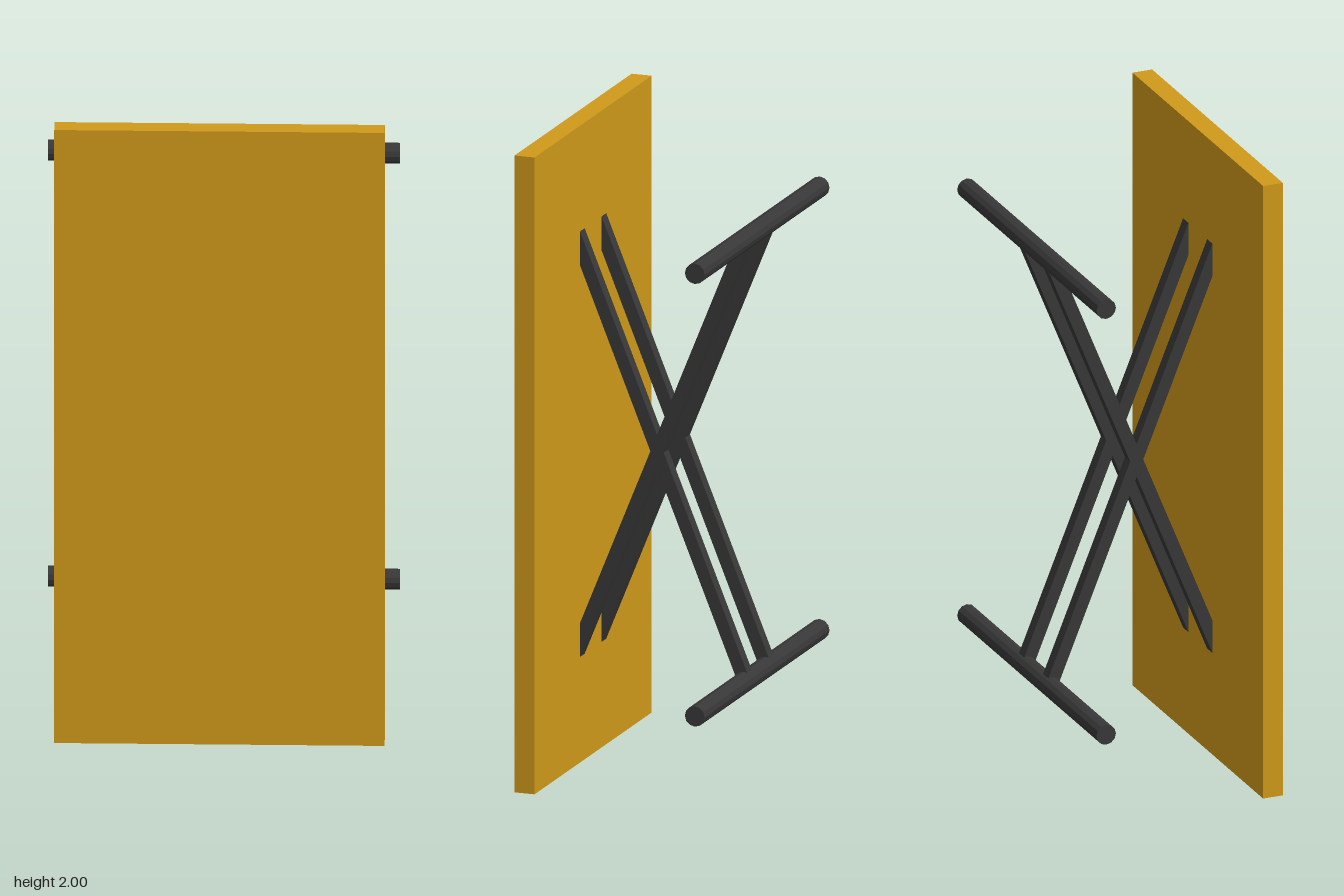
import * as THREE from 'three';

export function createModel() {
  const model = new THREE.Group();
  const orange = new THREE.MeshStandardMaterial({ color: 0xd09a1a });
  const dark = new THREE.MeshStandardMaterial({ color: 0x383838, flatShading: true });

  const add = (name, geometry, material, x, y, z) => {
    const mesh = new THREE.Mesh(geometry, material);
    mesh.name = name;
    mesh.position.set(x, y, z);
    model.add(mesh);
    return mesh;
  };

  // Upright panel at the front
  add('panel', new THREE.BoxGeometry(1, 2, 0.065), orange, 0, 1, 0.282);

  const reachY = 0.695, reachZ = 0.282;
  const barGeometry = new THREE.CylinderGeometry(0.032, 0.032, 1.066, 12).rotateZ(Math.PI / 2);
  const strutGeometry = new THREE.BoxGeometry(0.04, 2 * Math.hypot(reachY, reachZ), 0.04);

  for (const side of [1, -1]) {
    // Horizontal round bar at the back, upper and lower
    add(side > 0 ? 'upperBar' : 'lowerBar', barGeometry, dark, 0, 1 + side * reachY, -reachZ);

    // Pair of crossed struts running from the bars into the panel
    for (const tilt of [1, -1]) {
      const strut = add(
        (side > 0 ? 'left' : 'right') + (tilt > 0 ? 'RisingStrut' : 'FallingStrut'),
        strutGeometry, dark, side * 0.092, 1, 0);
      strut.rotation.x = tilt * Math.atan2(reachZ, reachY);
    }
  }
  return model;
}
